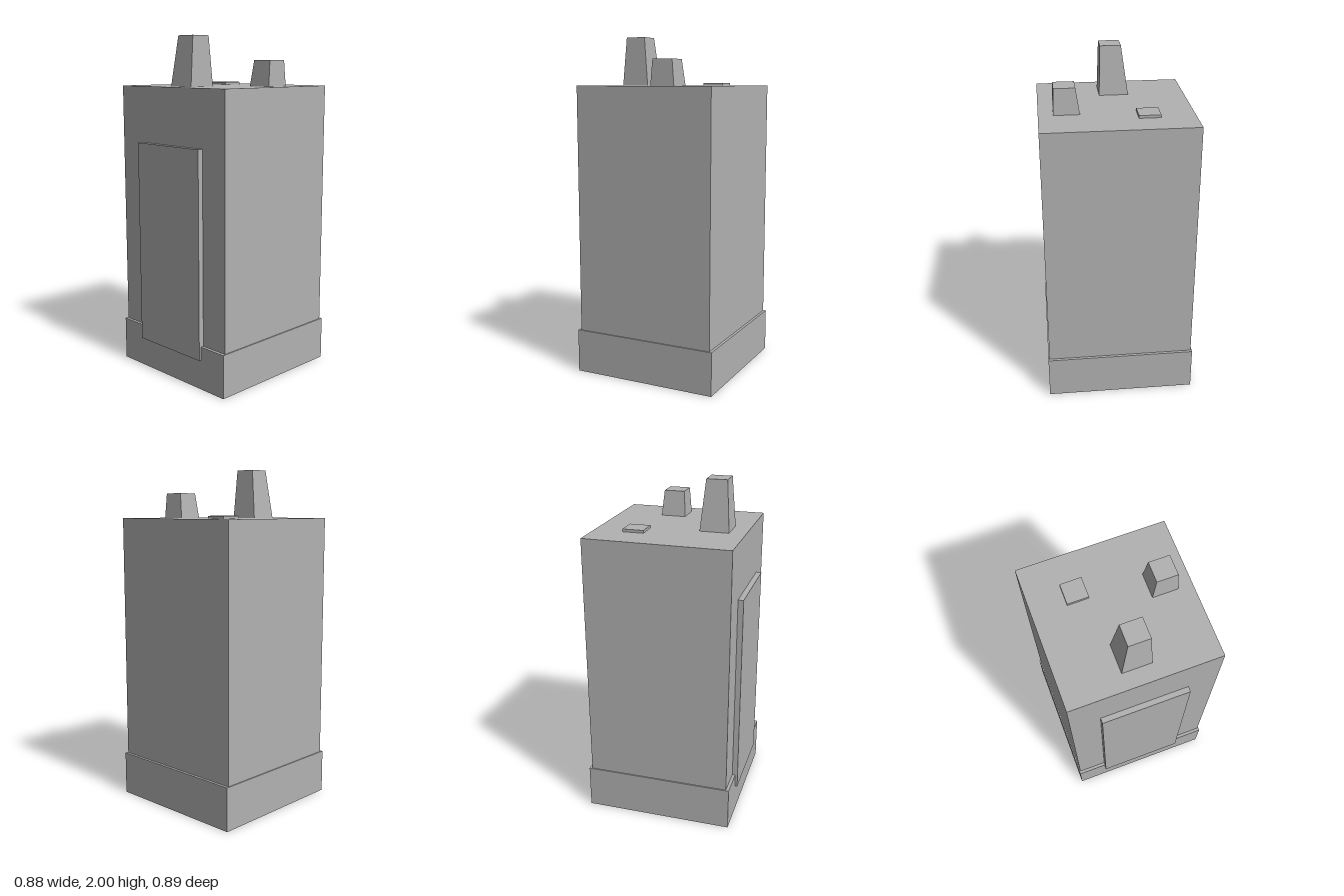
import * as THREE from 'three';

export function createModel() {
  const group = new THREE.Group();
  const grey = new THREE.MeshStandardMaterial({ color: 0xb2b2b2 });
  grey.name = 'wall grey';

  // Block between base rectangle [x0, x1, z0, z1] at y0 and top rectangle at y1;
  // a different top rectangle makes a tapered block.
  function addBlock(name, y0, y1, base, top = base) {
    const geometry = new THREE.BoxGeometry(1, 1, 1);
    const p = geometry.attributes.position;
    for (let i = 0; i < p.count; i++) {
      const upper = p.getY(i) > 0;
      const [x0, x1, z0, z1] = upper ? top : base;
      p.setXYZ(i, p.getX(i) > 0 ? x1 : x0, upper ? y1 : y0, p.getZ(i) > 0 ? z1 : z0);
    }
    geometry.computeVertexNormals();
    const mesh = new THREE.Mesh(geometry, grey);
    mesh.name = name;
    group.add(mesh);
  }

  // Main volume, standing on a slightly wider plinth
  addBlock('plinth', 0, 0.257, [-0.439, 0.439, -0.446, 0.432]);
  addBlock('body', 0.257, 1.713, [-0.432, 0.432, -0.43, 0.414]);

  // Raised panel on the front
  addBlock('frontPanel', 0.177, 1.385, [-0.259, 0.259, 0.41, 0.446]);

  // Roof pieces: two leaning stacks and a low hatch
  addBlock('tallStack', 1.713, 2, [-0.102, 0.068, 0.149, 0.319], [-0.062, 0.06, 0.174, 0.295]);
  addBlock('shortStack', 1.713, 1.861, [0.201, 0.348, -0.168, -0.021], [0.223, 0.344, -0.155, -0.033]);
  addBlock('roofHatch', 1.713, 1.729, [-0.236, -0.113, -0.26, -0.137]);

  return group;
}
